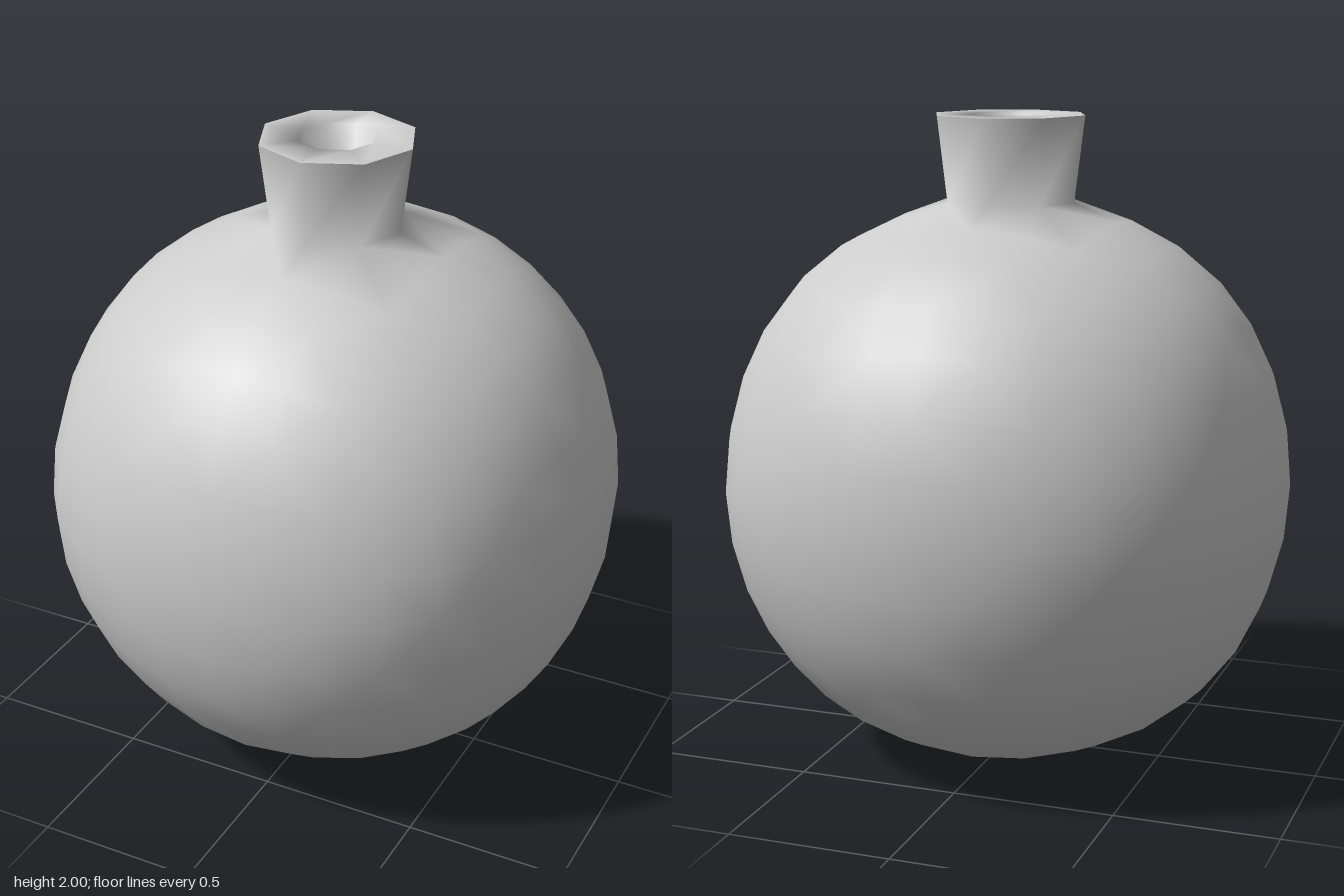
import * as THREE from 'three';

const R = 0.873; // ball radius, also the height of its centre

// One Catmull-Clark step on a closed all-quad mesh
function subdivide({ verts, quads }) {
  const out = verts.map(() => new THREE.Vector3());
  const info = verts.map(() => ({ n: 0, faces: new THREE.Vector3(), mids: new THREE.Vector3() }));
  const edges = new Map();
  const facePoints = quads.map((q) => {
    const f = new THREE.Vector3();
    q.forEach((i) => f.addScaledVector(verts[i], 0.25));
    q.forEach((a, k) => {
      const b = q[(k + 1) % 4];
      const key = Math.min(a, b) + '_' + Math.max(a, b);
      info[a].n++;
      info[a].faces.add(f);
      info[a].mids.add(verts[a].clone().add(verts[b]).multiplyScalar(0.5));
      if (!edges.has(key)) {
        edges.set(key, out.length);
        out.push(verts[a].clone().add(verts[b]).multiplyScalar(0.25));
      }
      out[edges.get(key)].addScaledVector(f, 0.25);
    });
    return f;
  });
  verts.forEach((v, i) => {
    const { n, faces, mids } = info[i];
    out[i].copy(faces).divideScalar(n).addScaledVector(mids, 2 / n)
      .addScaledVector(v, n - 3).divideScalar(n);
  });
  const next = [];
  quads.forEach((q, fi) => {
    const centre = out.push(facePoints[fi]) - 1;
    const mid = q.map((a, k) => {
      const b = q[(k + 1) % 4];
      return edges.get(Math.min(a, b) + '_' + Math.max(a, b));
    });
    q.forEach((a, k) => next.push([a, mid[k], centre, mid[(k + 3) % 4]]));
  });
  return { verts: out, quads: next };
}

function toGeometry(verts, quads) {
  const g = new THREE.BufferGeometry();
  g.setAttribute('position', new THREE.Float32BufferAttribute(verts.flatMap((v) => v.toArray()), 3));
  g.setIndex(quads.flatMap(([a, b, c, d]) => [a, b, c, a, c, d]));
  g.computeVertexNormals();
  return g;
}

// Eight-sided ring of vertices, starting on +z and turning towards +x
function ring(radius, y) {
  return Array.from({ length: 8 }, (_, i) => new THREE.Vector3(
    radius * Math.sin(i * Math.PI / 4), y, radius * Math.cos(i * Math.PI / 4)));
}

// Quads between a lower (or outer) ring and the next one
function band(lower, upper) {
  return lower.map((a, i) => {
    const j = (i + 1) % 8;
    return [a, lower[j], upper[j], upper[i]];
  });
}

// Rounded ball whose top opens into the flaring neck
function ballAndNeck() {
  const cube = { verts: [], quads: [
    [0, 1, 3, 2], [4, 6, 7, 5], [0, 4, 5, 1], [2, 3, 7, 6], [0, 2, 6, 4], [1, 5, 7, 3]] };
  for (let i = 0; i < 8; i++) {
    cube.verts.push(new THREE.Vector3(i & 4 ? 1 : -1, i & 2 ? 1 : -1, i & 1 ? 1 : -1));
  }
  let mesh = cube;
  for (let i = 0; i < 3; i++) mesh = subdivide(mesh);
  const { verts } = mesh;
  let top = 0;
  verts.forEach((v, i) => { if (v.y > verts[top].y) top = i; });
  const scale = R / verts[top].y;
  verts.forEach((v) => { v.multiplyScalar(scale); v.y += R; });

  // Open the four quads around the pole and round their border
  const removed = mesh.quads.filter((q) => q.includes(top));
  const quads = mesh.quads.filter((q) => !q.includes(top));
  const border = [...new Set(removed.flat())].filter((i) => i !== top);
  const angle = (i) => (Math.round(Math.atan2(verts[i].x, verts[i].z) / (Math.PI / 4)) + 8) % 8;
  border.sort((a, b) => angle(a) - angle(b));
  ring(0.207, 1.738).forEach((p, i) => verts[border[i]].copy(p));

  // The pole vertex is no longer used; the neck rises from the border
  const rim = ring(0.24, 2).map((p) => verts.push(p) - 1);
  quads.push(...band(border, rim));
  return toGeometry(verts, quads);
}

// Flat lip running into a blind hole with a smooth floor
function lipAndHole() {
  const verts = [...ring(0.24, 2), ...ring(0.118, 2), ...ring(0.1, 1.78)];
  const row = (k) => Array.from({ length: 8 }, (_, i) => k * 8 + i);
  const quads = [...band(row(0), row(1)), ...band(row(1), row(2))];
  const centre = verts.push(new THREE.Vector3(0, 1.77, 0)) - 1;
  for (let i = 0; i < 8; i += 2) quads.push([16 + i, 17 + i, 16 + (i + 2) % 8, centre]);
  return toGeometry(verts, quads);
}

export function createModel() {
  const group = new THREE.Group();
  group.name = 'roundFlask';
  const material = new THREE.MeshStandardMaterial({ color: 0xcccccc });
  const add = (name, geometry) => {
    const mesh = new THREE.Mesh(geometry, material);
    mesh.name = name;
    group.add(mesh);
  };
  add('ballAndNeck', ballAndNeck());
  add('lipAndHole', lipAndHole());
  return group;
}
